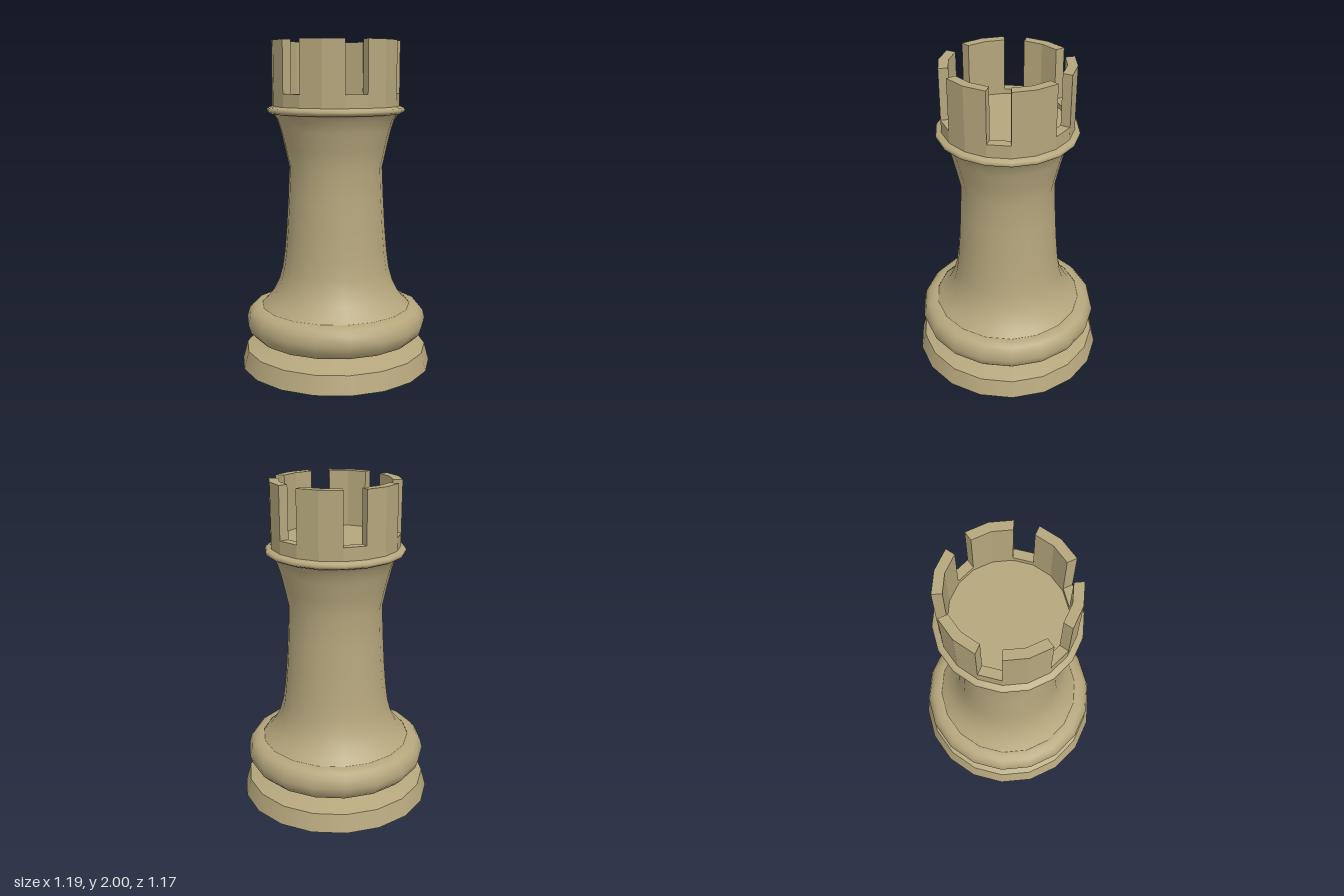
import * as THREE from 'three';

const SIDES = 18;
const STEP = (Math.PI * 2) / SIDES;

export function createModel() {
  const group = new THREE.Group();
  const smooth = new THREE.MeshStandardMaterial({ color: 0xb5a67c });
  const flat = new THREE.MeshStandardMaterial({ color: 0xb5a67c, flatShading: true });

  function add(name, geometry, material) {
    const mesh = new THREE.Mesh(geometry, material);
    mesh.name = name;
    group.add(mesh);
  }

  // 18-sided turned part with corners on the x axis, profile from bottom to top
  function turned(name, profile) {
    const points = profile.map(([r, y]) => new THREE.Vector2(r, y));
    add(name, new THREE.LatheGeometry(points, SIDES, Math.PI / 2), smooth);
  }

  // Points along an arc, counted in facets
  function arc(radius, from, to) {
    const points = [];
    const dir = Math.sign(to - from);
    for (let i = from; i !== to + dir; i += dir) {
      points.push(new THREE.Vector2(radius * Math.cos(i * STEP), radius * Math.sin(i * STEP)));
    }
    return points;
  }

  // Upright extrusion of a plan shape
  function upright(name, shape, bottom, top) {
    const geometry = new THREE.ExtrudeGeometry(shape, { depth: top - bottom, bevelEnabled: false });
    geometry.rotateX(-Math.PI / 2).translate(0, bottom, 0);
    add(name, geometry, flat);
  }

  // Plinth, split where the edges are sharp
  turned('plinthUnderside', [[0, 0], [0.595, 0]]);
  turned('plinthSide', [[0.595, 0], [0.565, 0.11]]);
  turned('plinthTop', [[0.565, 0.11], [0.37, 0.165]]);

  // Rounded cushion above the plinth
  turned('cushion', [
    [0.37, 0.165], [0.45, 0.171], [0.51, 0.188], [0.548, 0.228], [0.564, 0.28],
    [0.55, 0.332], [0.525, 0.362], [0.49, 0.376], [0.465, 0.376],
  ]);

  // Shaft, waisted below the crown
  turned('shaft', [
    [0.465, 0.375], [0.43, 0.41], [0.39, 0.46], [0.355, 0.53], [0.333, 0.61], [0.318, 0.72],
    [0.306, 0.86], [0.295, 1.04], [0.286, 1.24], [0.312, 1.36], [0.338, 1.47], [0.358, 1.53], [0.385, 1.568],
  ]);

  // Thin collar
  turned('collar', [
    [0.37, 1.566], [0.4, 1.568], [0.417, 1.578], [0.421, 1.59], [0.414, 1.603], [0.385, 1.613],
  ]);

  // Crown wall and sunken floor
  const wall = new THREE.Shape(arc(0.387, 0, SIDES - 1));
  wall.holes.push(new THREE.Path(arc(0.33, 0, SIDES - 1)));
  upright('crownWall', wall, 1.605, 1.69);
  upright('crownFloor', new THREE.Shape(arc(0.33, 0, SIDES - 1)), 1.61, 1.66);

  // Six battlements, two facets wide with one-facet gaps
  for (let i = 0; i < 6; i++) {
    const from = i * 3 - 1;
    const plan = new THREE.Shape([...arc(0.387, from, from + 2), ...arc(0.33, from + 2, from)]);
    upright('battlement' + (i + 1), plan, 1.69, 2);
  }

  return group;
}
